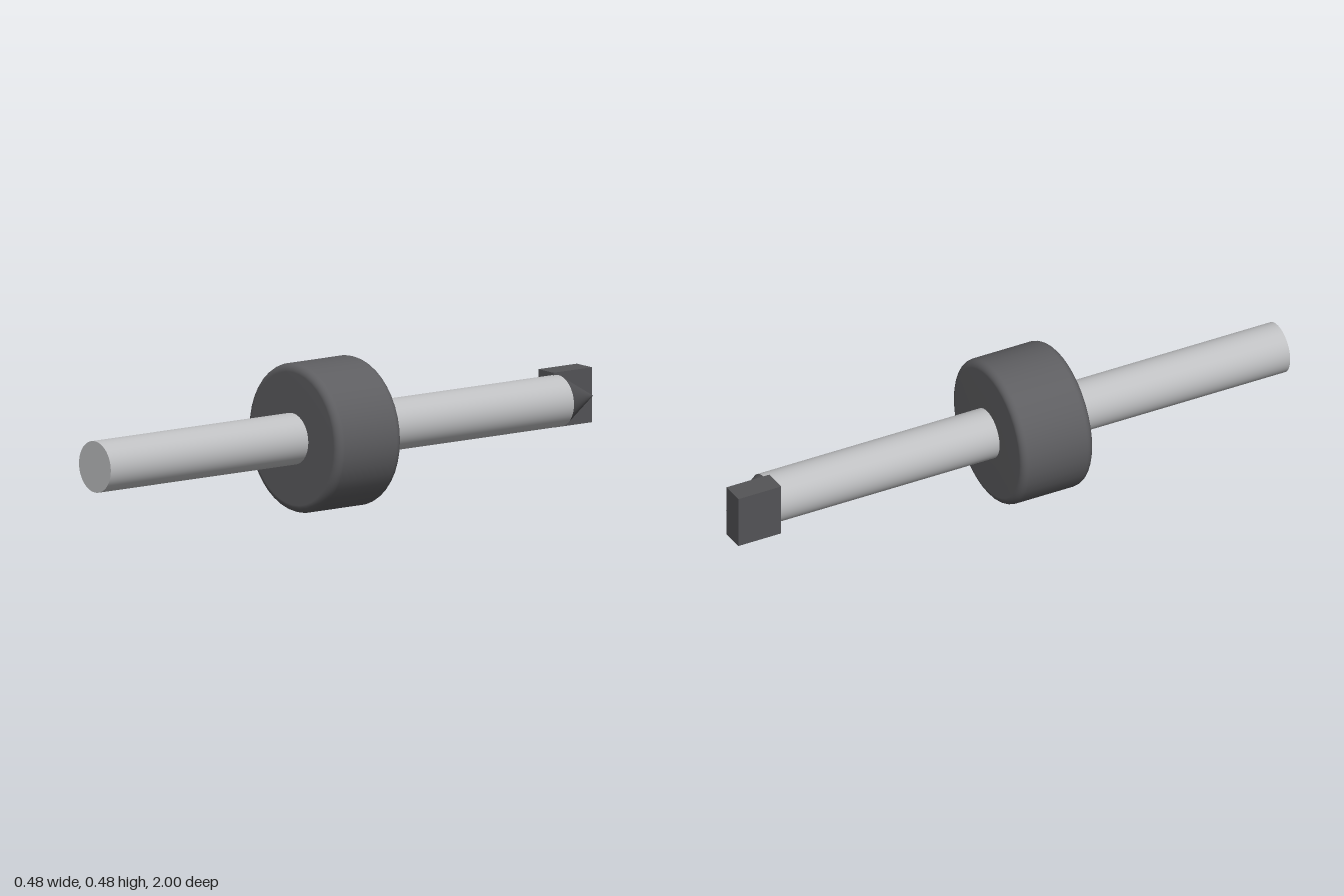
import * as THREE from 'three';

const AXIS_Y = 0.241; // height of the tool's long axis

function material(name, color) {
  const m = new THREE.MeshStandardMaterial({ color });
  m.name = name;
  return m;
}

export function createModel() {
  const steel = material('steel', 0xbfc0c2);
  const rubber = material('dark collar', 0x5e5e61);
  const carbide = material('dark carbide', 0x545457);

  const group = new THREE.Group();
  group.name = 'toolBit';

  const add = (name, geometry, mat, x, y, z) => {
    const mesh = new THREE.Mesh(geometry, mat);
    mesh.name = name;
    mesh.position.set(x, y, z);
    group.add(mesh);
    return mesh;
  };

  // Round shank along z
  const shankFront = 1, shankBack = -0.86, radius = 0.083;
  const shank = new THREE.CylinderGeometry(radius, radius, shankFront - shankBack, 64);
  shank.rotateX(Math.PI / 2);
  add('shank', shank, steel, 0, AXIS_Y, (shankFront + shankBack) / 2);

  // Depth collar: a lathed ring with rounded rims
  const R = 0.241, half = 0.13, fillet = 0.026;
  const profile = [new THREE.Vector2(radius * 0.9, -half)];
  for (const side of [-1, 1]) {
    for (let i = 0; i <= 6; i++) {
      const a = (side < 0 ? i - 6 : i) / 6 * Math.PI / 2;
      profile.push(new THREE.Vector2(
        R - fillet + fillet * Math.cos(a),
        side * (half - fillet) + fillet * Math.sin(a)
      ));
    }
  }
  profile.push(new THREE.Vector2(radius * 0.9, half));
  const collar = new THREE.LatheGeometry(profile, 40);
  collar.rotateX(Math.PI / 2);
  add('collar', collar, rubber, 0, AXIS_Y, 0.077);

  // Ground conical point
  const point = new THREE.ConeGeometry(radius, 1 + shankBack, 64);
  point.rotateX(-Math.PI / 2);
  add('conicalPoint', point, carbide, 0, AXIS_Y, (shankBack - 1) / 2);

  // Square cutting insert on one half of the point
  const insert = new THREE.BoxGeometry(0.079, 0.178, 0.155);
  add('cuttingInsert', insert, carbide, -0.0445, AXIS_Y + 0.002, -0.9225);

  return group;
}
